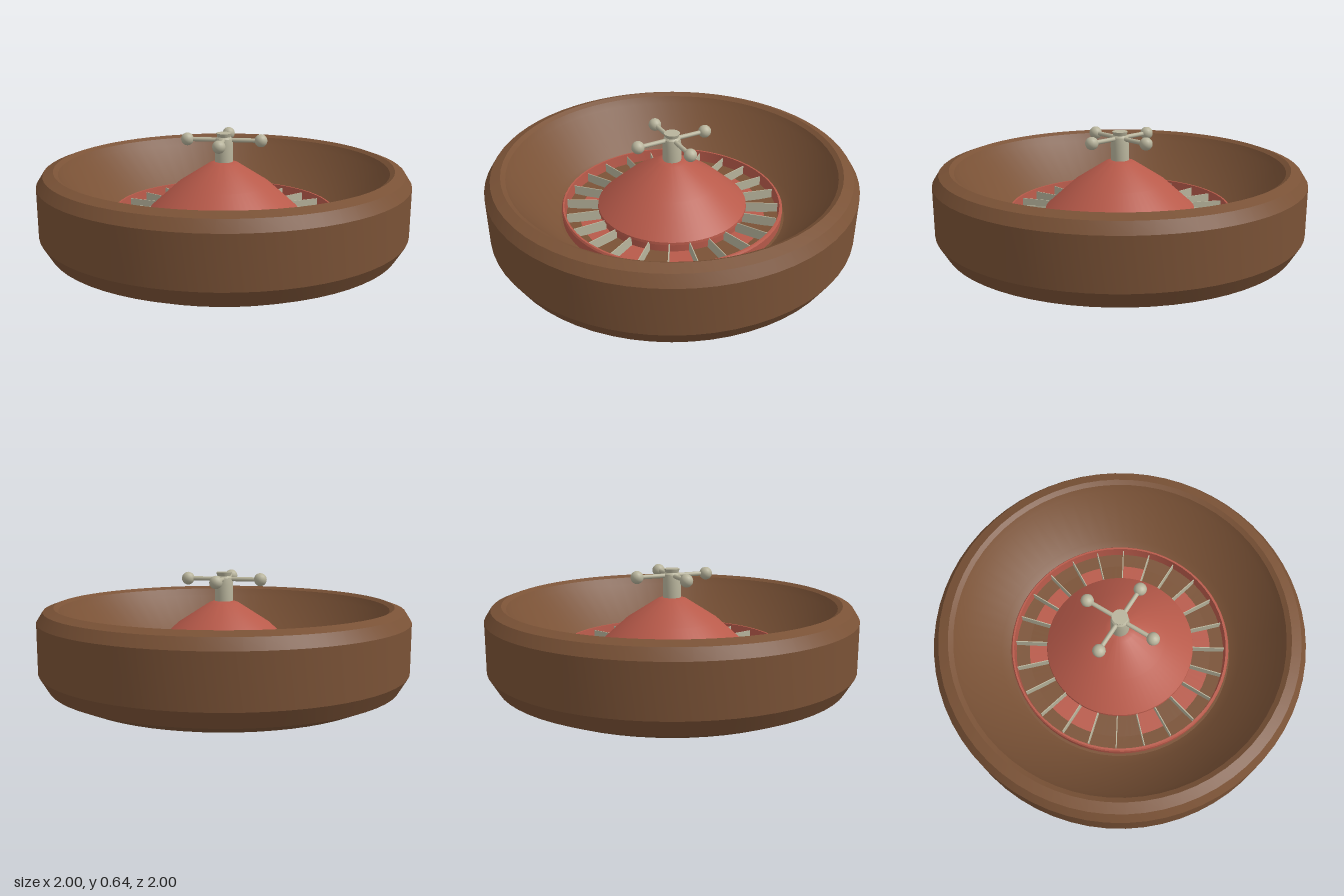
import * as THREE from 'three';
import { toCreasedNormals } from 'three/addons/utils/BufferGeometryUtils.js';

const mat = (color) => new THREE.MeshStandardMaterial({ color });

function add(parent, name, geometry, material) {
  const mesh = new THREE.Mesh(geometry, material);
  mesh.name = name;
  parent.add(mesh);
  return mesh;
}

function lathe(points, segments = 64) {
  const profile = points.map(([r, y]) => new THREE.Vector2(r, y));
  return toCreasedNormals(new THREE.LatheGeometry(profile, segments), 0.35);
}

export function createModel() {
  const model = new THREE.Group();
  model.name = 'rouletteWheel';
  const wood = mat(0x7a5236), red = mat(0xb85a4a), metal = mat(0xb8b49c);

  // Wooden bowl: chamfered outside, rolled rim, sloping ball track
  add(model, 'bowl', lathe([
    [0, 0], [0.84, 0], [0.95, 0.05], [1, 0.135], [1, 0.4], [0.965, 0.455], [0.91, 0.475],
    [0.885, 0.46], [0.86, 0.42], [0.67, 0.2], [0.62, 0.17], [0, 0.13],
  ]), wood);

  // Rotor: outer lip, sunken pocket floor and domed cone
  const rotor = new THREE.Group();
  rotor.name = 'rotor';
  model.add(rotor);
  add(rotor, 'rotorBody', lathe([
    [0.605, 0.14], [0.608, 0.222], [0.602, 0.232], [0.592, 0.232], [0.585, 0.16],
    [0.395, 0.16], [0.395, 0.205], [0.41, 0.212], [0.408, 0.226], [0.25, 0.37],
    [0.08, 0.48], [0.05, 0.49], [0, 0.49],
  ]), red);

  // Pocket floors and the thin frets between them
  const count = 24, step = (Math.PI * 2) / count;
  const half = 'brbrbrrbrbbr';
  for (let i = 0; i < count; i++) {
    const color = half[Math.min(i, count - 1 - i)];
    const floor = new THREE.RingGeometry(0.395, 0.585, 4, 1, i * step, step);
    floor.rotateX(-Math.PI / 2).translate(0, 0.163, 0);
    add(rotor, 'pocketFloor', floor, color === 'r' ? red : wood);

    const fret = new THREE.BoxGeometry(0.185, 0.06, 0.005).translate(0.492, 0.19, 0);
    add(rotor, 'fret', fret.rotateY(i * step), metal);
  }

  // Central spindle
  const turret = new THREE.Group();
  turret.name = 'turret';
  model.add(turret);
  add(turret, 'spindle', lathe([
    [0.05, 0.47], [0.05, 0.58], [0.045, 0.615], [0.036, 0.625], [0.042, 0.645], [0, 0.645],
  ], 24), metal);

  // Four handle arms with knobs
  for (let i = 0; i < 4; i++) {
    const arm = new THREE.Group();
    arm.name = 'handle';
    arm.rotation.y = (i * Math.PI) / 2;
    turret.add(arm);
    const rod = new THREE.CylinderGeometry(0.012, 0.012, 0.18, 10);
    add(arm, 'handleRod', rod.rotateZ(Math.PI / 2).translate(0.1, 0.608, 0), metal);
    add(arm, 'handleKnob', new THREE.SphereGeometry(0.035, 16, 10).translate(0.2, 0.608, 0), metal);
  }
  return model;
}
